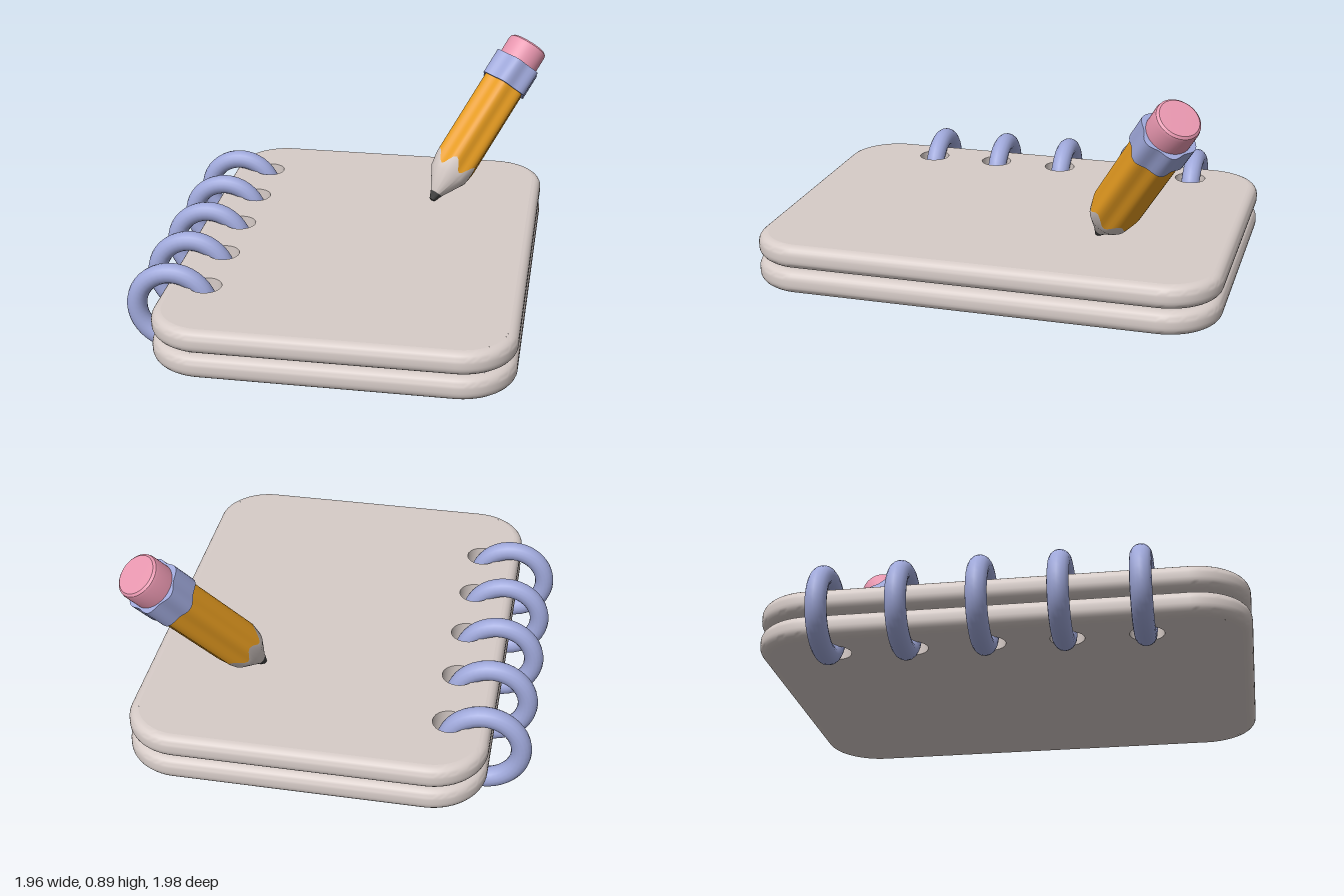
import * as THREE from 'three';
import { toCreasedNormals } from 'three/addons/utils/BufferGeometryUtils.js';

const mat = (name, color) => new THREE.MeshStandardMaterial({ name, color });

// Skins a list of closed rings (arrays of Vector3, counter-clockwise seen from +z)
function loft(rings, crease = 0.6) {
  const n = rings[0].length, pos = [], index = [];
  rings.forEach(ring => ring.forEach(p => pos.push(p.x, p.y, p.z)));
  for (let i = 0; i < rings.length - 1; i++) {
    for (let j = 0; j < n; j++) {
      const a = i * n + j, b = i * n + (j + 1) % n;
      index.push(a, b, b + n, a, b + n, a + n);
    }
  }
  const g = new THREE.BufferGeometry();
  g.setAttribute('position', new THREE.Float32BufferAttribute(pos, 3));
  g.setIndex(index);
  g.computeVertexNormals();
  return toCreasedNormals(g, crease);
}

// Ring around the z axis; radius and height may depend on the angle
function ring(radius, height, n = 48) {
  const at = (f, t) => (typeof f === 'function' ? f(t) : f);
  return Array.from({ length: n }, (_, i) => {
    const t = (i / n) * Math.PI * 2, r = at(radius, t);
    return new THREE.Vector3(r * Math.cos(t), r * Math.sin(t), at(height, t));
  });
}

// Rounded rectangle of the pad, shrunk by an inset
function padShape(inset) {
  const a = 0.645 - inset, b = 0.86 - inset, r = 0.2 - inset, s = new THREE.Shape();
  s.absarc(a - r, b - r, r, 0, Math.PI / 2);
  s.absarc(-a + r, b - r, r, Math.PI / 2, Math.PI);
  s.absarc(-a + r, -b + r, r, Math.PI, Math.PI * 1.5);
  s.absarc(a - r, -b + r, r, Math.PI * 1.5, Math.PI * 2);
  return s;
}

export function createModel() {
  const paper = mat('paper and wood', 0xd7ccc8);
  const metal = mat('blue metal', 0x9fa8da);
  const yellow = mat('yellow paint', 0xf5a623);
  const pink = mat('pink rubber', 0xed9ab3);
  const graphite = mat('graphite', 0x424242);

  const model = new THREE.Group();
  model.name = 'notepadAndPencil';
  const add = (parent, name, geometry, material) => {
    const m = new THREE.Mesh(geometry, material);
    m.name = name;
    parent.add(m);
    return m;
  };

  // Notepad, built lying in the xy plane with z up
  const pad = new THREE.Group();
  pad.name = 'notepad';
  pad.rotation.set(-Math.PI / 2, 0, THREE.MathUtils.degToRad(40));
  pad.position.set(0.01, 0, -0.005);
  model.add(pad);

  const bevel = 0.035, thick = 0.087, holeR = 0.06, holeX = -0.495;
  const holeY = [-2, -1, 0, 1, 2].map(i => 0.04 + i * 0.272);

  const buildSlab = (name, z0) => {
    const slab = new THREE.Group();
    slab.name = name;
    slab.position.z = z0;
    pad.add(slab);

    // Rounded rim
    const rim = [];
    const rimRing = (inset, z) => rim.push(
      padShape(inset).getPoints(10).slice(0, -1).map(p => new THREE.Vector3(p.x, p.y, z)));
    for (let k = 0; k <= 6; k++) {
      const t = (k / 6) * Math.PI / 2;
      rimRing(bevel * (1 - Math.sin(t)), bevel * (1 - Math.cos(t)));
    }
    for (let k = 6; k >= 0; k--) {
      const t = (k / 6) * Math.PI / 2;
      rimRing(bevel * (1 - Math.sin(t)), thick - bevel * (1 - Math.cos(t)));
    }
    add(slab, 'rim', loft(rim), paper);

    // Flat faces punched with the binding holes
    const face = padShape(bevel);
    holeY.forEach(y => {
      const h = new THREE.Path();
      h.absarc(holeX, y, holeR, 0, Math.PI * 2, true);
      face.holes.push(h);
    });
    const faceGeo = new THREE.ShapeGeometry(face, 12);
    add(slab, 'topFace', faceGeo, paper).position.z = thick;
    add(slab, 'bottomFace', faceGeo, paper).rotation.x = Math.PI;
    // The turned face is mirrored in y, so shift its holes back into line
    const bottom = slab.getObjectByName('bottomFace');
    bottom.rotation.x = 0;
    bottom.geometry = faceGeo.clone();
    const idx = bottom.geometry.index.array;
    for (let i = 0; i < idx.length; i += 3) [idx[i], idx[i + 1]] = [idx[i + 1], idx[i]];
    bottom.geometry.computeVertexNormals();

    // Hole walls face inwards
    const wall = loft([ring(holeR, thick, 24), ring(holeR, 0, 24)]);
    holeY.forEach(y => add(slab, 'holeWall', wall, paper).position.set(holeX, y, 0));
  };
  buildSlab('lowerSlab', 0.085);
  buildSlab('upperSlab', 0.181);

  // Binding rings
  const ringGeo = new THREE.TorusGeometry(0.135, 0.037, 16, 40);
  holeY.forEach(y => {
    const m = add(pad, 'bindingRing', ringGeo, metal);
    m.rotation.x = Math.PI / 2;
    m.position.set(-0.62, y, 0.172);
  });

  // Pencil, built along z from its point at the origin
  const pencil = new THREE.Group();
  pencil.name = 'pencil';
  const axis = new THREE.Vector3(0.045, 0.568, -0.485).normalize();
  pencil.quaternion.setFromUnitVectors(new THREE.Vector3(0, 0, 1), axis);
  pencil.position.set(-0.053, 0.272, -0.425);
  model.add(pencil);

  const hex = (mid, amp) => t => mid + amp * Math.cos(6 * t);
  const bodyR = hex(0.087, 0.006), bandR = hex(0.097, 0.007);
  const scallop = hex(0.172, 0.026);
  const dot = 0.0005;

  add(pencil, 'lead', loft([ring(dot, 0), ring(0.012, 0.004), ring(0.026, 0.036)]), graphite);
  add(pencil, 'sharpenedWood', loft([ring(0.026, 0.036), ring(0.078, 0.125), ring(bodyR, scallop)]), paper);
  add(pencil, 'body', loft([ring(bodyR, scallop), ring(bodyR, 0.56)]), yellow);
  add(pencil, 'band', loft([ring(0.07, 0.552), ring(bandR, 0.552), ring(bandR, 0.66), ring(0.07, 0.66)]), metal);
  add(pencil, 'eraser', loft([
    ring(0.083, 0.655), ring(0.083, 0.73), ring(0.08, 0.742), ring(0.072, 0.749), ring(dot, 0.751),
  ]), pink);

  return model;
}
